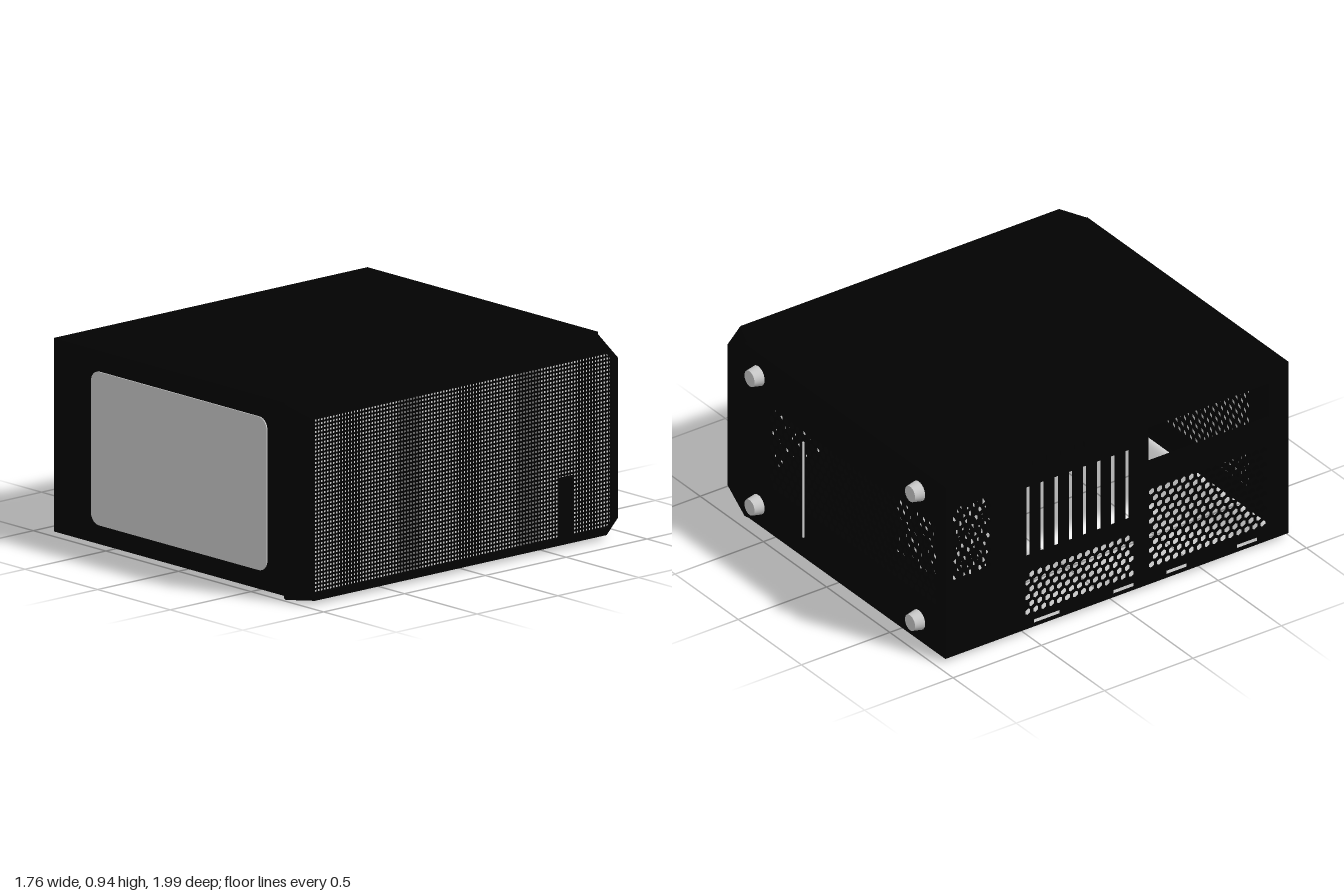
import * as THREE from 'three';

const black = new THREE.MeshStandardMaterial({ color: 0x020202, side: THREE.DoubleSide });
black.name = 'black steel';
const grey = new THREE.MeshStandardMaterial({ color: 0xcacaca, side: THREE.DoubleSide });
grey.name = 'grey filter';
const silver = new THREE.MeshStandardMaterial({ color: 0xc8c8c8, side: THREE.DoubleSide });
silver.name = 'silver metal';

export function createModel() {
  const model = new THREE.Group();
  model.name = 'computerCase';

  const add = (name, geometry, material, x = 0, y = 0, z = 0, parent = model) => {
    const mesh = new THREE.Mesh(geometry, material);
    mesh.name = name;
    mesh.position.set(x, y, z);
    parent.add(mesh);
    return mesh;
  };
  // Box given by its limits
  const box = (name, x0, x1, y0, y1, z0, z1, material = black, parent = model) =>
    add(name, new THREE.BoxGeometry(x1 - x0, y1 - y0, z1 - z0), material,
      (x0 + x1) / 2, (y0 + y1) / 2, (z0 + z1) / 2, parent);

  const rectPath = (u0, u1, v0, v1, Type = THREE.Path) => new Type([
    new THREE.Vector2(u0, v0), new THREE.Vector2(u1, v0),
    new THREE.Vector2(u1, v1), new THREE.Vector2(u0, v1)]);

  // Thin plate with rounded corners
  const roundPlate = (x0, x1, y0, y1, r) => {
    const shape = new THREE.Shape();
    shape.moveTo(x0 + r, y0);
    shape.absarc(x1 - r, y0 + r, r, -Math.PI / 2, 0);
    shape.absarc(x1 - r, y1 - r, r, 0, Math.PI / 2);
    shape.absarc(x0 + r, y1 - r, r, Math.PI / 2, Math.PI);
    shape.absarc(x0 + r, y0 + r, r, Math.PI, Math.PI * 1.5);
    return new THREE.ExtrudeGeometry(shape, { depth: 0.006, bevelEnabled: false, curveSegments: 8 });
  };

  // Staggered hexagonal perforation filling a rectangle
  const hexHoles = (u0, u1, v0, v1, pitch = 0.045, r = 0.019) => {
    const holes = [];
    let row = 0;
    for (let v = v0 + r; v <= v1 - r; v += pitch * 0.87, row++) {
      for (let u = u0 + r + (row % 2) * pitch / 2; u <= u1 - r; u += pitch) {
        const pts = [];
        for (let i = 0; i < 6; i++) {
          const a = Math.PI / 6 + i * Math.PI / 3;
          pts.push(new THREE.Vector2(u + r * Math.cos(a), v + r * Math.sin(a)));
        }
        holes.push(new THREE.Path(pts));
      }
    }
    return holes;
  };
  // Sheet of metal with holes, drawn in its own plane
  const sheet = (name, limits, holes, depth = 0.012) => {
    const shape = rectPath(...limits, THREE.Shape);
    shape.holes.push(...holes);
    return add(name, new THREE.ExtrudeGeometry(shape, { depth, bevelEnabled: false }), black);
  };

  // Upper cover with its grip lip
  box('upperCover', -0.87, 0.72, 0.915, 0.94, -0.95, 0.99);
  box('coverLip', -0.882, -0.87, 0.89, 0.92, -0.17, 0.23);
  box('componentTray', -0.855, 0.5, 0.87, 0.88, -0.9, 0.97);

  // Perforated front wall with its rounded filter sheet
  sheet('frontWall', [-0.87, 0.72, 0.02, 0.92], [
    ...hexHoles(-0.58, 0.57, 0.15, 0.81),
    rectPath(0.14, 0.37, 0.118, 0.132),
    rectPath(-0.57, -0.25, 0.118, 0.132)]).position.z = 0.976;
  add('frontFilter', roundPlate(-0.61, 0.6, 0.11, 0.84, 0.055), grey, 0, 0, 0.988);

  // Back wall with a long vent, a pale strip and the supply body behind it
  sheet('backWall', [-0.87, 0.72, 0.02, 0.92],
    hexHoles(-0.8, 0.54, 0.27, 0.7)).position.z = -0.95;
  box('ventStrip', 0.245, 0.253, 0.13, 0.64, -0.958, -0.95, silver);
  box('supplyPanel', -0.45, -0.1, 0.2, 0.8, -0.93, -0.92);

  // Connector wall: port opening, fan vent, card slots, supply vent
  const slots = [];
  for (let i = 0; i <= 7; i++) {
    const z = -0.48 + i * 0.08;
    slots.push(rectPath(z - 0.012, z + 0.012, 0.41, 0.78));
  }
  const dashes = [[-0.45, -0.3], [0.0, 0.12], [0.3, 0.42], [0.7, 0.82]]
    .map(([a, b]) => rectPath(a, b, 0.035, 0.058));
  const connectorWall = sheet('connectorWall', [-0.95, 0.99, 0.02, 0.92], [
    rectPath(0.2, 0.88, 0.68, 0.86),
    ...hexHoles(0.2, 0.88, 0.1, 0.56),
    ...hexHoles(-0.5, 0.13, 0.09, 0.33),
    ...hexHoles(-0.91, -0.68, 0.42, 0.83),
    ...slots, ...dashes], 0.008);
  connectorWall.rotation.y = -Math.PI / 2;
  connectorWall.position.x = -0.862;

  // Card slot screws and cover tabs
  for (let i = 0; i < 7; i++) {
    const z = -0.44 + i * 0.08;
    const screw = add('slotScrew', new THREE.CylinderGeometry(0.018, 0.018, 0.035, 10),
      silver, -0.84, 0.36, z);
    screw.rotation.z = Math.PI / 2;
    if (i < 4) box('coverTab', -0.876, -0.87, 0.89, 0.915, z - 0.02, z + 0.02);
  }

  // Supply shroud: perforated deck, closed side and front shelf with an oval badge
  sheet('shroudDeck', [-0.855, 0.45, 0.03, 0.87],
    hexHoles(-0.82, 0.4, 0.1, 0.8, 0.06, 0.027)).position.z = -0.66;
  box('shroudSide', -0.855, 0.7, 0.03, 0.042, -0.938, -0.65);
  box('shroudShelf', 0.4, 0.7, 0.03, 0.042, -0.65, -0.1);
  const oval = add('shelfOval', roundPlate(0.42, 0.65, -0.24, -0.16, 0.039), grey, 0, 0.03, 0);
  oval.rotation.x = Math.PI / 2;

  // Rails around the open underside
  box('frontRail', -0.87, 0.72, 0.02, 0.03, 0.965, 0.99);
  box('backRail', -0.87, 0.72, 0.02, 0.035, -0.95, -0.9);
  box('intakeRail', 0.64, 0.72, 0.02, 0.035, -0.95, 0.99);

  // Tapered intake bezel lofted through four rings with cut corners
  // Each ring: x, y limits, z limits, back corner cut, front corner cut
  const rings = [
    [0.72, 0.0, 0.942, -0.95, 0.993, 0.015, 0.01],
    [0.88, 0.02, 0.922, -0.93, 0.975, 0.072, 0.03],
    [0.88, 0.05, 0.885, -0.89, 0.955, 0.03, 0.01],
    [0.72, 0.05, 0.885, -0.89, 0.955, 0.03, 0.01],
  ].map(([x, a, b, c, d, k, f]) => [
    [x, a, c + k], [x, a + k, c], [x, b - k, c], [x, b, c + k],
    [x, b, d - f], [x, b - f, d], [x, a + f, d], [x, a, d - f]]);
  const pos = [];
  rings.forEach((ring, k) => {
    const next = rings[(k + 1) % 4];
    ring.forEach((p, i) => {
      const j = (i + 1) % ring.length;
      for (const q of [p, ring[j], next[j], p, next[j], next[i]]) pos.push(...q);
    });
  });
  const bezel = new THREE.BufferGeometry();
  bezel.setAttribute('position', new THREE.Float32BufferAttribute(pos, 3));
  bezel.computeVertexNormals();
  add('intakeBezel', bezel, black);

  // Fine square mesh of crossing bars over a pale filter, with a perforated backing
  const mesh = new THREE.Group();
  mesh.name = 'intakeMesh';
  model.add(mesh);
  const pitch = 0.0184, half = 0.0045;
  for (let z = -0.88; z <= 0.956; z += pitch)
    box('uprightBar', 0.87, 0.8715, 0.05, 0.885, z - half, z + half, black, mesh);
  for (let y = 0.055; y <= 0.886; y += pitch)
    box('crossBar', 0.87, 0.8715, y - half, y + half, -0.89, 0.955, black, mesh);
  const dust = add('intakeFilter', new THREE.PlaneGeometry(1.845, 0.835), grey, 0.8695, 0.4675, 0.0325);
  dust.rotation.y = Math.PI / 2;
  box('meshBlank', 0.8697, 0.8718, 0.05, 0.34, -0.66, -0.57);
  const backing = sheet('intakeBacking', [-0.89, 0.955, 0.05, 0.885],
    hexHoles(-0.8, 0.88, 0.1, 0.84, 0.07, 0.018), 0.006);
  backing.rotation.y = -Math.PI / 2;
  backing.position.x = 0.864;

  // Tapered feet on the back
  for (const x of [-0.66, 0.61]) for (const y of [0.13, 0.82]) {
    const foot = add('foot', new THREE.CylinderGeometry(0.05, 0.04, 0.05, 24), silver, x, y, -0.975);
    foot.rotation.x = Math.PI / 2;
  }

  // Panel screws under the corners
  for (const x of [-0.78, 0.66]) for (const z of [-0.9, 0.93]) {
    add('screwStem', new THREE.CylinderGeometry(0.01, 0.01, 0.015, 10), silver, x, 0.0125, z);
    add('screwHead', new THREE.CylinderGeometry(0.022, 0.022, 0.006, 14), silver, x, 0.012, z);
  }
  return model;
}
